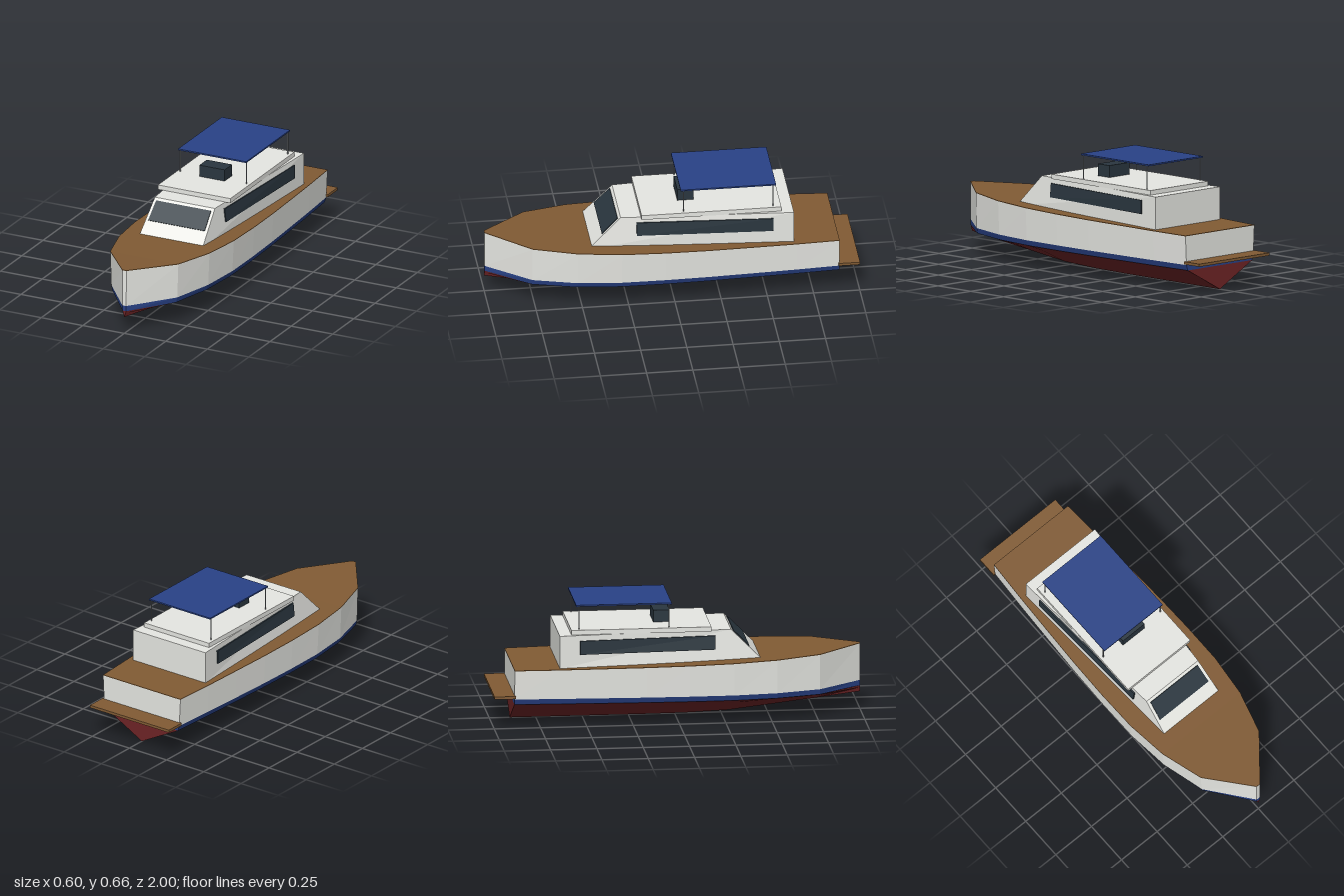
import * as THREE from 'three';

const mat = (name, color, extra = {}) => {
  const m = new THREE.MeshStandardMaterial({ color, flatShading: true, ...extra });
  m.name = name;
  return m;
};

// Closed solid lofted through sections ordered bow to stern;
// each section is a loop of [x, y, z], counter-clockwise seen from +z.
function loft(sections) {
  const pos = [], n = sections[0].length;
  const tri = (a, b, c) => pos.push(...a, ...b, ...c);
  for (let s = 0; s < sections.length - 1; s++) {
    const a = sections[s], b = sections[s + 1];
    for (let i = 0; i < n; i++) {
      const j = (i + 1) % n;
      tri(a[i], b[i], b[j]);
      tri(a[i], b[j], a[j]);
    }
  }
  const first = sections[0], last = sections[sections.length - 1];
  for (let i = 1; i < n - 1; i++) {
    tri(first[0], first[i], first[i + 1]);
    tri(last[0], last[i + 1], last[i]);
  }
  const g = new THREE.BufferGeometry();
  g.setAttribute('position', new THREE.Float32BufferAttribute(pos, 3));
  g.computeVertexNormals();
  return g;
}

export function createModel() {
  const boat = new THREE.Group();
  boat.name = 'motorYacht';
  const white = mat('white', 0xf2f3ee);
  const navy = mat('navy', 0x294287);
  const red = mat('antifoulRed', 0x6e2426);
  const teak = mat('teak', 0x815b34);
  const glass = mat('darkGlass', 0x2a363f);
  const steel = mat('steel', 0x9a9fa3);

  const add = (name, geometry, material, parent = boat) => {
    const m = new THREE.Mesh(geometry, material);
    m.name = name;
    parent.add(m);
    return m;
  };
  const box = (name, material, x, y0, y1, z0, z1) => {
    const m = add(name, new THREE.BoxGeometry(2 * x, y1 - y0, z1 - z0), material);
    m.position.set(0, (y0 + y1) / 2, (z0 + z1) / 2);
    return m;
  };

  // Hull stations: z, half width at the rail, rail height, keel height
  const stations = [
    [1, 0.012, 0.365, 0.095], [0.764, 0.205, 0.354, 0.066], [0.527, 0.272, 0.345, 0.038],
    [0.291, 0.298, 0.338, 0.011], [0.055, 0.3, 0.332, 0.002], [-0.181, 0.295, 0.328, 0],
    [-0.418, 0.285, 0.325, 0], [-0.654, 0.274, 0.322, 0], [-0.89, 0.26, 0.32, 0],
  ];
  const chineY = 0.13, stripeY = 0.16, deckT = 0.003;
  const chineW = 0.935, stripeW = 0.97;
  const band = (w0, y0, w1, y1, z) =>
    [[-w0, y0, z], [w0, y0, z], [w1, y1, z], [-w1, y1, z]];

  add('hullBottom', loft(stations.map(([z, w, , k]) => {
    const c = w * chineW, m = c * 0.59, my = k + (chineY - k) * 0.65;
    return [[0, k, z], [m, my, z], [c, chineY, z], [-c, chineY, z], [-m, my, z]];
  })), red);
  add('waterlineStripe', loft(stations.map(([z, w]) =>
    band(w * chineW, chineY, w * stripeW, stripeY, z))), navy);
  add('topsides', loft(stations.map(([z, w, y]) =>
    band(w * stripeW, stripeY, w, y - deckT, z))), white);
  add('deck', loft(stations.map(([z, w, y]) => band(w, y - deckT, w, y, z))), teak);
  box('swimPlatform', teak, 0.265, 0.165, 0.18, -1, -0.885);

  // Cabin with raked front, tapering forward
  const rear = { z: -0.645, x: 0.243 };
  const low = { y: 0.32, z: 0.465, x: 0.192 }, high = { y: 0.5, z: 0.285, x: 0.181 };
  add('cabin', loft([
    [[-low.x, low.y, low.z], [low.x, low.y, low.z], [high.x, high.y, high.z], [-high.x, high.y, high.z]],
    band(rear.x, low.y, rear.x, high.y, rear.z),
  ]), white);

  // Windscreen plate lying on the raked face
  const screen = (offset) => [[-0.17, 0.402], [0.17, 0.402], [0.165, 0.487], [-0.165, 0.487]]
    .map(([x, y]) => [x, y + offset, high.z + (high.y - y) + offset]);
  add('windscreen', loft([screen(0.003), screen(-0.002)]), glass);

  // Side windows following the cabin walls
  const wallX = (y, z) => {
    const at = (p) => THREE.MathUtils.mapLinear(z, rear.z, p.z, rear.x, p.x);
    return THREE.MathUtils.mapLinear(y, low.y, high.y, at(low), at(high));
  };
  for (const side of [1, -1]) {
    const section = (z) => {
      const y0 = 0.395, y1 = 0.47, out = 0.008;
      const loop = [[wallX(y0, z), y0], [wallX(y0, z) + out, y0],
        [wallX(y1, z) + out, y1], [wallX(y1, z), y1]].map(([x, y]) => [side * x, y, z]);
      return side > 0 ? loop : loop.reverse();
    };
    add(side > 0 ? 'leftWindow' : 'rightWindow', loft([section(0.2), section(-0.535)]), glass);
  }

  // Flybridge floor, helm console and canopy
  box('flybridge', white, 0.218, 0.499, 0.525, -0.58, 0.176);
  box('helmConsole', glass, 0.076, 0.524, 0.59, -0.123, -0.035);
  box('canopy', navy, 0.205, 0.652, 0.66, -0.553, -0.037);
  const post = new THREE.CylinderGeometry(0.003, 0.003, 0.13, 8);
  for (const x of [-0.2, 0.2]) {
    for (const z of [-0.052, -0.537]) {
      add('canopyPost', post, steel).position.set(x, 0.589, z);
    }
  }
  return boat;
}
